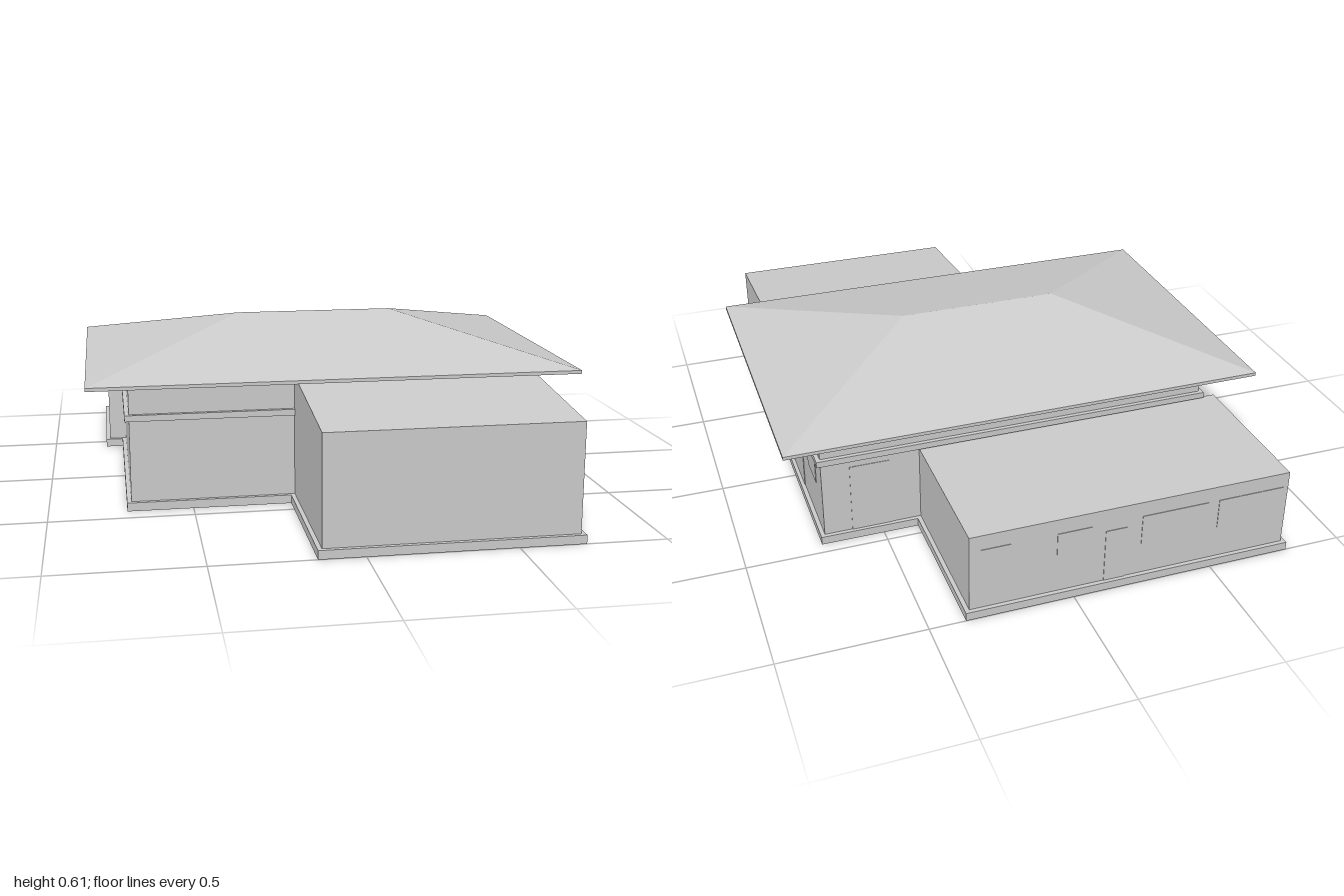
import * as THREE from 'three';

const grey = new THREE.MeshStandardMaterial({ color: 0xcccccc, flatShading: true, side: THREE.DoubleSide });

function add(parent, name, geometry) {
  const mesh = new THREE.Mesh(geometry, grey);
  mesh.name = name;
  parent.add(mesh);
  return mesh;
}

// Box given by its minimum and maximum on each axis
function box(parent, name, [x0, x1], [y0, y1], [z0, z1]) {
  const mesh = add(parent, name, new THREE.BoxGeometry(x1 - x0, y1 - y0, z1 - z0));
  mesh.position.set((x0 + x1) / 2, (y0 + y1) / 2, (z0 + z1) / 2);
  return mesh;
}

// Solid skin through rectangular loops [x0, x1, y, z0, z1]; optional flat caps
function loft(loops, { bottom = false, top = false } = {}) {
  const corners = loops.map(([x0, x1, y, z0, z1]) => [[x0, y, z1], [x1, y, z1], [x1, y, z0], [x0, y, z0]]);
  const pos = [];
  const quad = (a, b, c, d) => pos.push(...a, ...b, ...c, ...a, ...c, ...d);
  for (let i = 0; i + 1 < corners.length; i++) {
    for (let k = 0; k < 4; k++) {
      const n = (k + 1) % 4;
      quad(corners[i][k], corners[i][n], corners[i + 1][n], corners[i + 1][k]);
    }
  }
  const first = corners[0], last = corners[corners.length - 1];
  if (bottom) quad(first[3], first[2], first[1], first[0]);
  if (top) quad(...last);
  const g = new THREE.BufferGeometry();
  g.setAttribute('position', new THREE.Float32BufferAttribute(pos, 3));
  g.computeVertexNormals();
  return g;
}

// Rectangular frame lying flat around a room's walls
function ring(parent, name, [x0, x1], [y0, y1], [z0, z1], out = 0.015) {
  const rect = (T, d) => new T([[x0 - d, z0 - d], [x1 + d, z0 - d], [x1 + d, z1 + d], [x0 - d, z1 + d]]
    .map(([x, z]) => new THREE.Vector2(x, -z)));
  const shape = rect(THREE.Shape, out);
  shape.holes.push(rect(THREE.Path, -0.012));
  const g = new THREE.ExtrudeGeometry(shape, { depth: y1 - y0, bevelEnabled: false });
  g.rotateX(-Math.PI / 2).translate(0, y0, 0);
  add(parent, name, g);
}

export function createModel() {
  const house = new THREE.Group();
  house.name = 'house';

  const rooms = [
    { name: 'mainBlock', x: [-0.715, 0.71], z: [-0.44, 0.415], h: 0.46 },
    { name: 'frontWing', x: [-0.14, 0.71], z: [0.415, 0.985], h: 0.46, hFront: 0.405 },
    { name: 'backWing', x: [-0.78, 0.36], z: [-0.985, -0.44], h: 0.315 },
  ];

  // Walls open at the bottom, each with a plinth
  for (const { name, x, z, h, hFront = h } of rooms) {
    const g = loft([[...x, 0, ...z], [...x, h, ...z]], { top: true });
    const p = g.attributes.position;
    for (let i = 0; i < p.count; i++) {
      if (p.getY(i) > 0 && p.getZ(i) > z[1] - 0.01) p.setY(i, hFront);
    }
    g.computeVertexNormals();
    add(house, name, g);
    ring(house, name + 'Plinth', x, [0, 0.03], z);
  }

  // Hipped roof with a thin eave edge
  add(house, 'hippedRoof', loft([
    [-0.857, 0.855, 0.46, -0.585, 0.555],
    [-0.857, 0.855, 0.472, -0.585, 0.555],
    [-0.29, 0.288, 0.613, -0.015, -0.015],
  ], { bottom: true }));

  // String course round the main block, stopping at the front wing
  const course = new THREE.Group();
  course.name = 'stringCourse';
  house.add(course);
  const y = [0.32, 0.342];
  box(course, 'courseFront', [-0.73, -0.14], y, [0.403, 0.43]);
  box(course, 'courseBack', [-0.73, 0.725], y, [-0.455, -0.428]);
  box(course, 'courseRight', [-0.73, -0.703], y, [-0.428, 0.403]);
  box(course, 'courseLeft', [0.698, 0.725], y, [-0.428, 0.43]);

  // Doors and windows, almost flush with the walls
  const t = 0.002;
  box(house, 'sideDoor', [0.708, 0.71 + t], [0.03, 0.3], [-0.12, 0.11]);
  box(house, 'backDoor', [0.465, 0.61], [0.03, 0.29], [-0.44 - t, -0.438]);
  box(house, 'backWingDoor', [-0.185, -0.11], [0.03, 0.23], [-0.985 - t, -0.983]);
  for (const z of [0.635, 0.23, -0.285]) {
    box(house, 'sideWindow', [0.708, 0.71 + t], [0.19, 0.31], [z - 0.065, z + 0.065]);
  }
  for (const [x0, x1] of [[0.22, 0.32], [-0.06, 0.06], [-0.48, -0.24], [-0.76, -0.52]]) {
    box(house, 'backWindow', [x0, x1], [0.15, 0.26], [-0.985 - t, -0.983]);
  }
  return house;
}
